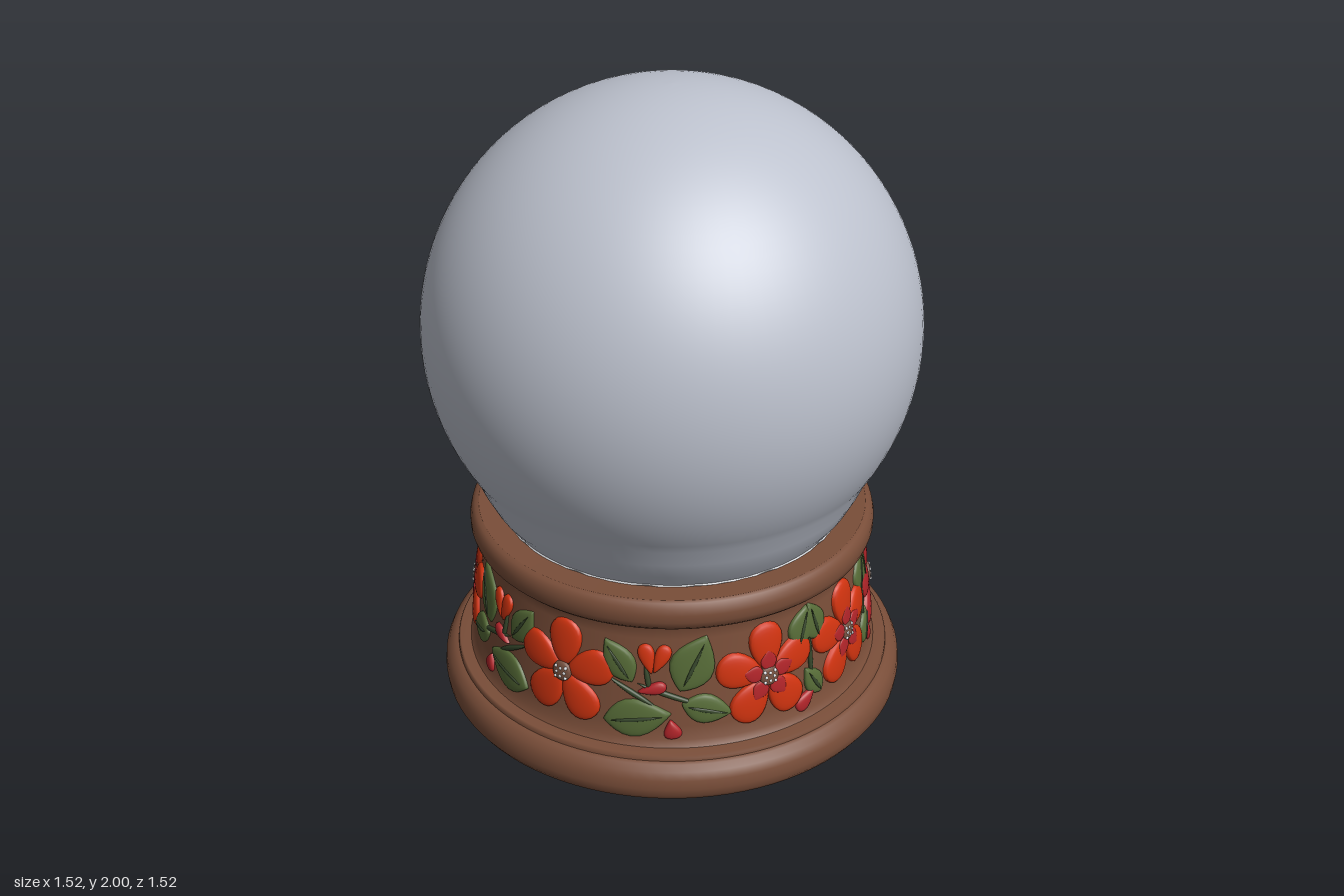
import * as THREE from 'three';
import { mergeVertices } from 'three/addons/utils/BufferGeometryUtils.js';

const material = (name, color, side = THREE.FrontSide) =>
  Object.assign(new THREE.MeshStandardMaterial({ color, side }), { name });

export function createModel() {
  const model = new THREE.Group();
  model.name = 'snowGlobe';
  const glass = material('glass grey', 0xbcc1cd, THREE.DoubleSide);
  const wood = material('brown wood', 0x7a4e39);
  const orange = material('orange red', 0xd0330f);
  const red = material('deep red', 0xb02429);
  const green = material('leaf green', 0x566b37);
  const darkGreen = material('vein green', 0x35452a);
  const heart = material('flower heart brown', 0x75503f);
  const snow = material('snow white', 0xd9dce0);

  const add = (parent, name, geometry, mat) => {
    const mesh = new THREE.Mesh(geometry, mat);
    mesh.name = name;
    parent.add(mesh);
    return mesh;
  };
  const lathe = (name, points, mat) => add(model, name,
    new THREE.LatheGeometry(points.map(([r, y]) => new THREE.Vector2(r, y)), 96), mat);

  // Globe: a sphere whose lower end runs into a straighter neck
  const globe = [[0.53, 0.635], [0.577, 0.7], [0.608, 0.76]];
  for (let i = 0; i <= 40; i++) {
    const a = THREE.MathUtils.lerp(-0.586, Math.PI / 2, i / 40);
    globe.push([Math.max(0, 0.76 * Math.cos(a)), 1.24 + 0.76 * Math.sin(a)]);
  }
  lathe('globe', globe, glass);

  // Turned wooden base
  lathe('foot', [[0.715, 0.005], [0.732, 0.012], [0.744, 0.03], [0.747, 0.055], [0.744, 0.085],
    [0.733, 0.11], [0.715, 0.125], [0.702, 0.128]], wood);
  lathe('footStep', [[0.702, 0.126], [0.701, 0.138], [0.695, 0.144], [0.64, 0.146]], wood);
  lathe('band', [[0.662, 0.144], [0.647, 0.165], [0.638, 0.21], [0.603, 0.5], [0.602, 0.535], [0.612, 0.552]], wood);
  lathe('rim', [[0.6, 0.548], [0.622, 0.55], [0.635, 0.563], [0.641, 0.583], [0.641, 0.607],
    [0.636, 0.628], [0.625, 0.641], [0.612, 0.645]], wood);
  lathe('rimTop', [[0.613, 0.645], [0.5, 0.643]], wood);

  // Grey underside
  const underside = add(model, 'underside', new THREE.CircleGeometry(0.72, 96), glass);
  underside.rotation.x = Math.PI / 2;
  underside.position.y = 0.003;

  // Uneven snow line around the neck
  const snowLine = new THREE.TorusGeometry(0.532, 0.011, 6, 120);
  snowLine.rotateX(Math.PI / 2);
  const sp = snowLine.attributes.position;
  for (let i = 0; i < sp.count; i++) {
    const a = Math.atan2(sp.getZ(i), sp.getX(i));
    sp.setY(i, sp.getY(i) + 0.644 + 0.003 * Math.sin(a * 17) + 0.003 * Math.sin(a * 29));
  }
  snowLine.computeVertexNormals();
  add(model, 'snowLine', snowLine, snow);

  // Small log poking out behind the globe
  const log = add(model, 'log', new THREE.SphereGeometry(1, 20, 12), wood);
  log.scale.set(0.055, 0.04, 0.062);
  log.position.set(0.37, 0.672, -0.48);
  log.rotation.x = -0.25;

  // Carved ornament: a domed shape wrapped onto the band.
  // shape(a) gives the width factor along its length, a from -1 to 1.
  const bandRadius = (y) => 0.638 - (y - 0.2) * 0.12;
  const petalShape = (a) => 0.84 + 0.26 * a;
  const leafShape = (a) => Math.sqrt(Math.max(0, 1 - a * a)) * (1.2 - 0.3 * a);
  const budShape = (a) => 0.7 + 0.45 * a;
  const relief = (parent, name, mat, theta, u, v, angle, len, wid, height, shape, lift = 0) => {
    let g = new THREE.SphereGeometry(1, 24, 7, 0, Math.PI * 2, 0, Math.PI / 2);
    g.rotateX(Math.PI / 2);
    g.deleteAttribute('uv');
    g.deleteAttribute('normal');
    g = mergeVertices(g, 1e-4);
    const p = g.attributes.position;
    const c = Math.cos(angle), s = Math.sin(angle);
    for (let i = 0; i < p.count; i++) {
      const a = p.getX(i), x = a * len, y = p.getY(i) * wid * shape(a);
      const yy = v + x * s + y * c;
      const t = theta + (u + x * c - y * s) / 0.63;
      const r = bandRadius(yy) - 0.002 + lift + height * Math.sqrt(Math.max(0, p.getZ(i)));
      p.setXYZ(i, r * Math.sin(t), yy, r * Math.cos(t));
    }
    g.computeVertexNormals();
    return add(parent, name, g, mat);
  };

  const rad = THREE.MathUtils.degToRad;
  const ornament = new THREE.Group();
  ornament.name = 'carvedOrnament';
  model.add(ornament);

  // Flowers: angle around the base, petal colour, colour of the inner streaks
  const flowers = [[0, orange, orange], [58.5, orange, red], [90, orange, red], [121.5, red, red],
    [180, orange, red], [238.5, red, orange], [270, orange, red], [301.5, orange, red]];
  for (const [deg, petalMat, streakMat] of flowers) {
    const flower = new THREE.Group();
    flower.name = 'flower';
    ornament.add(flower);
    const t = rad(deg);
    for (let k = 0; k < 5; k++) {
      const a = Math.PI / 2 + k * Math.PI * 0.4;
      const c = Math.cos(a), s = Math.sin(a);
      relief(flower, 'petal', petalMat, t, 0.094 * c, 0.345 + 0.094 * s, a, 0.078, 0.066, 0.022, petalShape);
      if (streakMat !== petalMat) {
        relief(flower, 'petalStreak', streakMat, t, 0.052 * c, 0.345 + 0.052 * s, a, 0.036, 0.022, 0.006, leafShape, 0.018);
      }
    }
    relief(flower, 'flowerHeart', heart, t, 0, 0.345, 0, 0.032, 0.032, 0.014, () => 1, 0.014);
    for (let k = 0; k < 8; k++) {
      const a = k * Math.PI / 4, d = k % 2 ? 0.024 : 0.013;
      relief(flower, 'seed', snow, t, d * Math.cos(a), 0.345 + d * Math.sin(a), 0, 0.005, 0.005, 0.006, () => 1, 0.024);
    }
  }

  const leaf = (t, side, u, v, deg, len, wid) => {
    const a = side > 0 ? rad(deg) : Math.PI - rad(deg);
    relief(ornament, 'leaf', green, t, u * side, v, a, len, wid, 0.018, leafShape);
    relief(ornament, 'leafVein', darkGreen, t, u * side, v, a, len * 0.75, 0.005, 0.005, leafShape, 0.016);
  };
  const bud = (mat, t, side, u, v, deg, len, wid) =>
    relief(ornament, 'bud', mat, t, u * side, v, side > 0 ? rad(deg) : Math.PI - rad(deg), len, wid, 0.018, budShape);
  const stem = (t, side, u, v, deg, len) =>
    relief(ornament, 'stem', darkGreen, t, u * side, v, side > 0 ? rad(deg) : Math.PI - rad(deg), len, 0.007, 0.012, leafShape);

  // Wide sprays either side of the front and back flowers
  for (const t of [0, Math.PI]) {
    for (const side of [1, -1]) {
      leaf(t, side, 0.24, 0.235, 10, 0.105, 0.052);
      leaf(t, side, 0.41, 0.42, 65, 0.1, 0.058);
      leaf(t, side, 0.18, 0.42, 125, 0.08, 0.04);
      leaf(t, side, 0.45, 0.265, -15, 0.08, 0.04);
      bud(orange, t, side, 0.27, 0.435, 105, 0.05, 0.032);
      bud(orange, t, side, 0.31, 0.435, 65, 0.05, 0.03);
      bud(red, t, side, 0.285, 0.335, 15, 0.045, 0.024);
      bud(red, t, side, 0.345, 0.2, -80, 0.032, 0.034);
      stem(t, side, 0.27, 0.37, 100, 0.06);
      stem(t, side, 0.35, 0.31, -20, 0.12);
      stem(t, side, 0.22, 0.32, 150, 0.09);
    }
  }

  // Narrow sprays between the three flowers on each flank
  for (const t of [Math.PI / 2, -Math.PI / 2]) {
    for (const side of [1, -1]) {
      leaf(t, side, 0.16, 0.455, 75, 0.07, 0.042);
      leaf(t, side, 0.21, 0.455, 110, 0.07, 0.042);
      leaf(t, side, 0.175, 0.255, 60, 0.06, 0.03);
      bud(red, t, side, 0.21, 0.205, -40, 0.045, 0.032);
      stem(t, side, 0.18, 0.35, 90, 0.09);
    }
  }
  return model;
}
